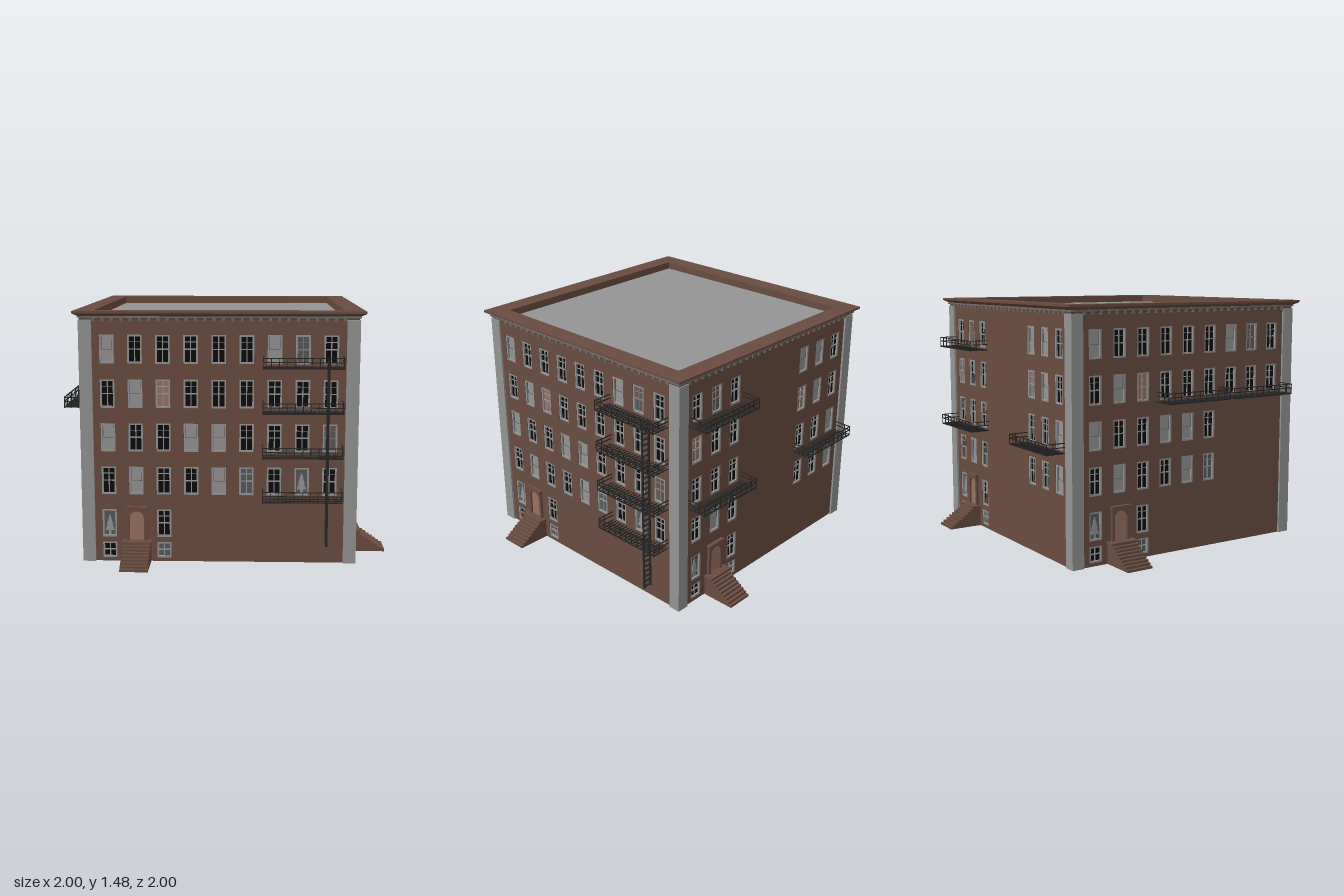
import * as THREE from 'three';
import { mergeGeometries } from 'three/addons/utils/BufferGeometryUtils.js';

const paint = (name, color) => {
  const m = new THREE.MeshStandardMaterial({ color });
  m.name = name;
  return m;
};

export function createModel() {
  const mats = {
    brick: paint('brownBrick', 0x6a4c40),
    stone: paint('greyStone', 0x949494),
    trim: paint('corniceTrim', 0x6f6b66),
    glass: paint('darkGlass', 0x0b0b0c),
    dim: paint('dimGlass', 0x55585a),
    tan: paint('tanWood', 0x98715e),
    iron: paint('blackIron', 0x262626),
  };

  // Collects geometries by part and material, then merges each into one mesh
  const makeParts = (group) => {
    const bins = {};
    const add = (part, mat, geo) => {
      const g = geo.index ? geo.toNonIndexed() : geo;
      const key = part + '|' + mat;
      (bins[key] = bins[key] || []).push(g);
    };
    const box = (part, mat, x0, x1, y0, y1, z0, z1) => {
      const g = new THREE.BoxGeometry(x1 - x0, y1 - y0, z1 - z0);
      add(part, mat, g.translate((x0 + x1) / 2, (y0 + y1) / 2, (z0 + z1) / 2));
    };
    const finish = () => {
      for (const key in bins) {
        const [part, mat] = key.split('|');
        const mesh = new THREE.Mesh(mergeGeometries(bins[key]), mats[mat]);
        mesh.name = part;
        group.add(mesh);
      }
    };
    return { add, box, finish };
  };

  const WALL = 0.79;
  const column = (i) => -0.643 + 0.1605 * i;
  const rowBottom = (r) => 0.147 + 0.2565 * r; // r = 0 is the ground floor
  const platformY = (r) => rowBottom(r) - 0.013;

  const rectPath = (x0, x1, y0, y1) => {
    const p = new THREE.Path();
    p.moveTo(x0, y0); p.lineTo(x0, y1); p.lineTo(x1, y1); p.lineTo(x1, y0); p.closePath();
    return p;
  };
  const archPath = (path, x, w, y0, y1) => {
    path.moveTo(x - w, y0);
    path.lineTo(x + w, y0);
    path.lineTo(x + w, y1 - w);
    path.absarc(x, y1 - w, w, 0, Math.PI, false);
    path.closePath();
    return path;
  };

  // One sash window: D dark, G dim, O tan shade, W tan surround, B blind, T tree
  function addWindow(p, x, y, h, type) {
    const w = 0.042, z = WALL - 0.008, x0 = x - w, x1 = x + w, y1 = y + h, f = 0.01;
    const pane = { D: 'glass', G: 'dim', O: 'tan', W: 'dim', B: 'stone', T: 'dim' }[type];
    p.box('windowPanes', pane, x0, x1, y, y1, z - 0.012, z - 0.006);
    for (const [a, b] of [[x0, x0 + f], [x1 - f, x1]]) p.box('windowFrames', 'stone', a, b, y, y1, z - 0.014, z + 0.006);
    for (const [a, b] of [[y, y + f], [y1 - f, y1]]) p.box('windowFrames', 'stone', x0 + f, x1 - f, a, b, z - 0.014, z + 0.006);
    if (type === 'T') { // small tree standing behind the glass
      const half = [[0.008, 0.012], [0.008, 0.035], [0.028, 0.035], [0.014, 0.07], [0.02, 0.07], [0.009, 0.1], [0.012, 0.1]];
      const pts = half.concat([[0, 0.135]], half.slice().reverse().map(([a, b]) => [-a, b]));
      const s = new THREE.Shape(pts.map(([a, b]) => new THREE.Vector2(x + a, y + b)));
      p.add('windowTree', 'stone', new THREE.ExtrudeGeometry(s, { depth: 0.004, bevelEnabled: false }).translate(0, 0, z - 0.006));
      return;
    }
    const bar = type === 'W' ? 'tan' : 'stone';
    const mid = y + h * 0.48;
    if (type === 'B') { // drawn blind with a thin shadow gap around the upper sash
      const g = 0.0025, a = x0 + f, b = x1 - f;
      p.box('blindEdges', 'dim', a, b, mid, mid + g, z - 0.006, z - 0.003);
      p.box('blindEdges', 'dim', a, a + g, mid, y1 - f, z - 0.006, z - 0.003);
      p.box('blindEdges', 'dim', b - g, b, mid, y1 - f, z - 0.006, z - 0.003);
      return;
    }
    p.box('windowBars', bar, x - 0.003, x + 0.003, y + f, y1 - f, z - 0.006, z);
    p.box('windowBars', bar, x0 + f, x1 - f, mid, mid + 0.006, z - 0.006, z + 0.002);
    if (h > 0.12) p.box('windowBars', bar, x0 + f, x1 - f, y + h * 0.74, y + h * 0.74 + 0.003, z - 0.006, z);
  }

  // Iron balcony with slatted floor and railing
  function addBalcony(p, x0, x1, y) {
    const z0 = WALL, z1 = 0.91, t = 0.005, top = y + 0.063;
    const n = 20;
    for (let i = 0; i <= n; i++) {
      const x = x0 + ((x1 - x0 - t) * i) / n;
      p.box('balconyFloor', 'iron', x, x + t, y, y + t, z0, z1);
      if (i % 2 === 0) p.box('balconyRailing', 'iron', x, x + 0.004, y, top, z1 - 0.004, z1);
    }
    for (const z of [0.825, 0.868, z1 - t]) p.box('balconyFloor', 'iron', x0, x1, y - 0.002, y + t - 0.001, z, z + t);
    for (const h of [0.034, 0.058]) {
      p.box('balconyRailing', 'iron', x0, x1, y + h, y + h + t, z1 - t, z1);
      for (const x of [x0, x1 - t]) p.box('balconyRailing', 'iron', x, x + t, y + h, y + h + t, z0, z1);
    }
    for (const x of [x0, x1 - t]) p.box('balconyRailing', 'iron', x, x + t, y, top, 0.865, 0.869);
  }

  // Ladder standing edge-on to the wall
  function addLadder(p) {
    const x0 = 0.614, x1 = 0.628;
    for (const z of [0.85, 0.9]) p.box('ladder', 'iron', x0, x1, 0.13, 1.2, z, z + 0.005);
    for (let y = 0.14; y < 1.2; y += 0.034) p.box('ladder', 'iron', x0, x1, y, y + 0.004, 0.855, 0.9);
  }

  // Entrance: arched door, surround and stoop
  function addEntrance(p) {
    const x = -0.482;
    const surround = new THREE.Shape();
    surround.moveTo(x - 0.06, 0.13); surround.lineTo(x + 0.06, 0.13);
    surround.lineTo(x + 0.06, 0.325); surround.lineTo(x - 0.06, 0.325); surround.closePath();
    surround.holes.push(archPath(new THREE.Path(), x, 0.042, 0.131, 0.305));
    p.add('doorSurround', 'brick', new THREE.ExtrudeGeometry(surround, { depth: 0.016, bevelEnabled: false, curveSegments: 8 }).translate(0, 0, WALL));
    p.box('doorHood', 'brick', x - 0.065, x + 0.065, 0.32, 0.333, WALL, WALL + 0.025);
    const door = archPath(new THREE.Shape(), x, 0.042, 0.13, 0.305);
    p.add('door', 'tan', new THREE.ExtrudeGeometry(door, { depth: 0.004, bevelEnabled: false, curveSegments: 8 }).translate(0, 0, WALL));
    // Side profile of the steps, drawn in (z, y) and swept across the width
    const steps = 8, s = new THREE.Shape();
    s.moveTo(0.76, 0); s.lineTo(0.76, 0.125); s.lineTo(0.84, 0.125);
    for (let i = 0; i < steps; i++) {
      const z = 0.84 + 0.02 * i, y = 0.125 * (1 - (i + 1) / (steps + 1));
      s.lineTo(z, y); s.lineTo(z + 0.02, y);
    }
    s.lineTo(1, 0); s.closePath();
    const stoop = new THREE.ExtrudeGeometry(s, { depth: 0.164, bevelEnabled: false });
    p.add('stoop', 'brick', stoop.rotateY(-Math.PI / 2).translate(x + 0.082, 0, 0));
    p.box('stoopLanding', 'brick', x - 0.088, x + 0.088, 0.117, 0.131, 0.76, 0.85);
  }

  // Complete facade facing +z; grid rows run from the top floor down
  function facade(name, grid, balconies, ladder) {
    const group = new THREE.Group();
    group.name = name;
    const p = makeParts(group);
    const wins = [[0, 0.147, 0.166, 'T'], [2, 0.147, 0.166, 'D'], [0, 0.02, 0.095, 'D'], [2, 0.02, 0.095, 'G']]
      .map(([c, y, h, t]) => [column(c), y, h, t]);
    grid.forEach((row, r) => [...row].forEach((t, c) => {
      if (t !== '.') wins.push([column(c), rowBottom(4 - r), 0.166, t]);
    }));
    const wall = new THREE.Shape();
    wall.moveTo(-0.73, 0); wall.lineTo(0.73, 0); wall.lineTo(0.73, 1.43); wall.lineTo(-0.73, 1.43); wall.closePath();
    for (const [x, y, h, t] of wins) {
      wall.holes.push(rectPath(x - 0.042, x + 0.042, y, y + h));
      addWindow(p, x, y, h, t);
    }
    p.add('wall', 'brick', new THREE.ExtrudeGeometry(wall, { depth: 0.03, bevelEnabled: false }).translate(0, 0, WALL - 0.03));
    for (const [x0, x1, r] of balconies) addBalcony(p, x0, x1, platformY(r));
    if (ladder) addLadder(p);
    addEntrance(p);
    // Corner pier, cornice strip and brackets
    p.box('cornerPier', 'stone', -0.802, -0.727, 0, 1.425, 0.727, 0.802);
    p.box('corniceStrip', 'trim', -0.806, 0.806, 1.436, 1.445, 0.78, 0.806);
    for (let i = 0; i < 28; i++) {
      const x = -0.715 + (1.43 * i) / 27;
      p.box('corniceBrackets', 'trim', x - 0.008, x + 0.008, 1.418, 1.436, WALL, WALL + 0.013);
    }
    p.finish();
    return group;
  }

  const full = ['BDDDDDBWD', 'DBODDDDDD', 'BDDBBDDDW', 'DBDDBGDTD'];
  const split = ['DWD...BBD', 'ODD...OBD', 'DDD...DDB', 'DBD...DDB'];
  const partial = ['BDDDDDBWD', 'DBODDDDDD', 'BDDBBD...', 'DBDDBG...'];
  const tower = [1, 2, 3, 4].map((r) => [0.25, 0.71, r]);

  const model = new THREE.Group();
  model.name = 'apartmentBuilding';
  [
    facade('frontFacade', full, tower, true),
    facade('leftFacade', full, tower, true),
    facade('backFacade', split, [[-0.71, -0.25, 4], [-0.71, -0.25, 2], [0.26, 0.71, 2]], false),
    facade('rightFacade', partial, [[-0.23, 0.225, 3], [0.25, 0.71, 3]], false),
  ].forEach((f, i) => {
    f.rotation.y = (i * Math.PI) / 2;
    model.add(f);
  });

  // Square cornice and parapet swept around the roof
  const profile = [[0.76, 1.425], [0.795, 1.425], [0.8, 1.445], [0.815, 1.453], [0.832, 1.462], [0.832, 1.475], [0.718, 1.475], [0.718, 1.42]]
    .map(([r, y]) => new THREE.Vector2(r * Math.SQRT2, y));
  const corniceGeo = new THREE.LatheGeometry(profile, 4, Math.PI / 4).toNonIndexed();
  corniceGeo.computeVertexNormals();
  const cornice = new THREE.Mesh(corniceGeo, mats.brick);
  cornice.name = 'cornice';
  const roof = new THREE.Mesh(new THREE.BoxGeometry(1.5, 0.01, 1.5), mats.stone);
  roof.name = 'roof';
  roof.position.y = 1.425;
  model.add(cornice, roof);
  return model;
}
